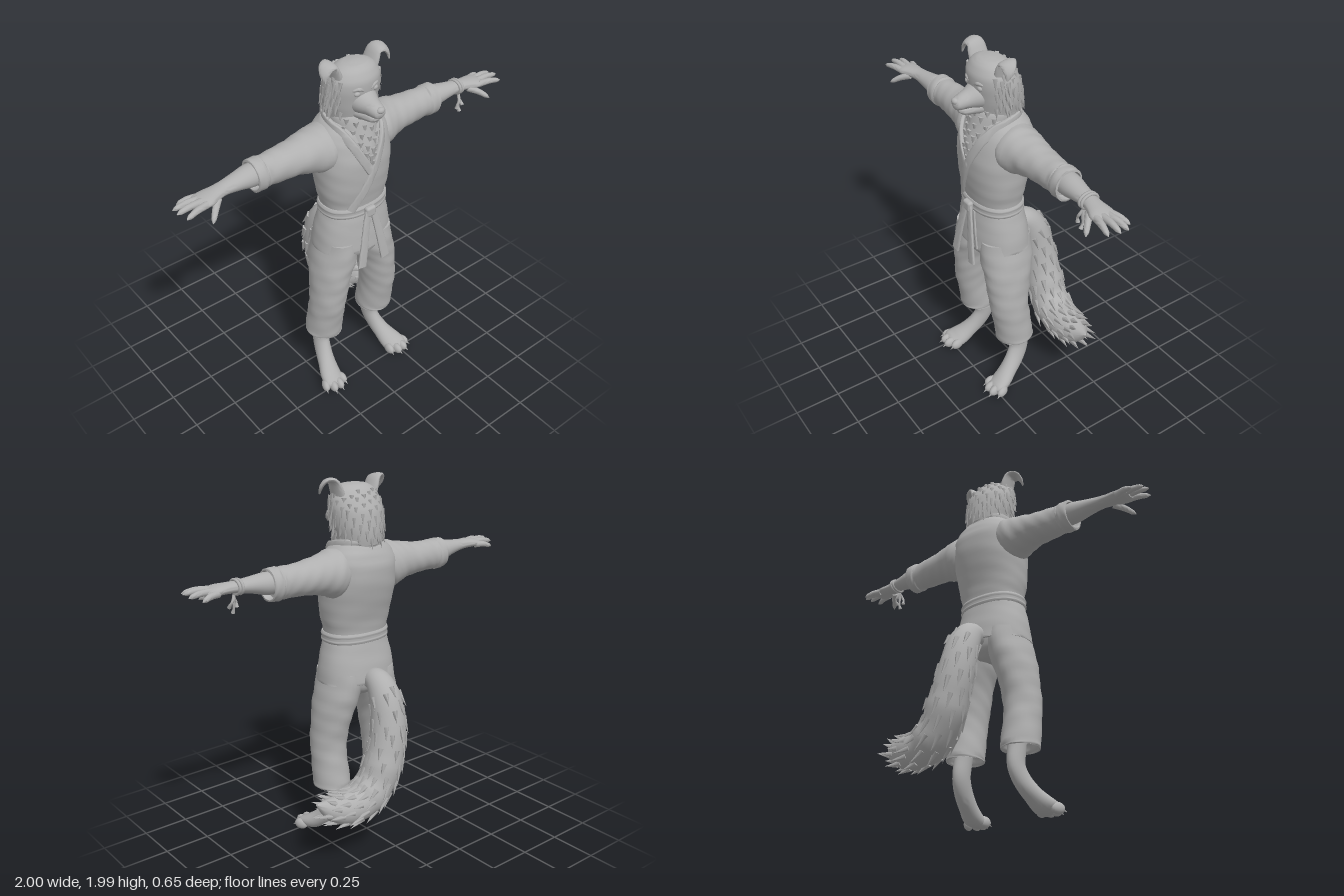
import * as THREE from 'three';
import { mergeGeometries, toCreasedNormals } from 'three/addons/utils/BufferGeometryUtils.js';
import { RoundedBoxGeometry } from 'three/addons/geometries/RoundedBoxGeometry.js';

const V = (x, y, z) => new THREE.Vector3(x, y, z);
const X = V(1, 0, 0), Y = V(0, 1, 0), Z = V(0, 0, 1);
const pow = (c, p) => Math.sign(c) * Math.abs(c) ** (2 / p);

// Lofts (super)elliptical rings through keys [x, y, z, ra, rb].
// dir: fixed ring axis; ref: start direction of the frame, or a function of the point.
function loft(keys, { dir, ref = Z, seg = 24, sub = 4, p = 2, wrinkle = 0 } = {}) {
  const path = new THREE.CatmullRomCurve3(keys.map(k => V(k[0], k[1], k[2])));
  const size = new THREE.CatmullRomCurve3(keys.map(k => V(k[3], k[4] ?? k[3], 0)));
  const n = (keys.length - 1) * sub, pos = [], idx = [], rings = [];
  let s = null;
  for (let i = 0; i <= n; i++) {
    const c = path.getPoint(i / n), r = size.getPoint(i / n);
    const t = dir ? dir.clone() : path.getTangent(i / n);
    if (typeof ref === 'function') s = ref(c).cross(t).normalize();
    else if (!s) s = ref.clone().cross(t).normalize();
    else s = s.clone().addScaledVector(t, -s.dot(t)).normalize();
    const w = t.clone().cross(s);
    rings.push({ c, s, w, t, ra: r.x, rb: r.y });
    for (let j = 0; j < seg; j++) {
      const a = j / seg * Math.PI * 2;
      const k = 1 + wrinkle * Math.sin(i * 1.3 + 2 * Math.sin(a)) * Math.sin(i * 0.45 + a * 3);
      const q = c.clone().addScaledVector(s, r.x * k * pow(Math.cos(a), p)).addScaledVector(w, r.y * k * pow(Math.sin(a), p));
      pos.push(q.x, q.y, q.z);
      const b = i * seg + j, d = i * seg + (j + 1) % seg;
      if (i < n) idx.push(b, d, b + seg, d, d + seg, b + seg);
    }
  }
  const cap = (n + 1) * seg, last = n * seg;
  for (const e of [rings[0].c, rings[n].c]) pos.push(e.x, e.y, e.z);
  for (let j = 0; j < seg; j++) {
    const j2 = (j + 1) % seg;
    idx.push(cap, j2, j, cap + 1, last + j, last + j2);
  }
  const raw = new THREE.BufferGeometry();
  raw.setAttribute('position', new THREE.Float32BufferAttribute(pos, 3));
  raw.setIndex(idx);
  const geo = toCreasedNormals(raw, 0.95);
  geo.userData.rings = rings;
  return geo;
}

// Mirrored copy across x, with the winding put right
function mirror(geo) {
  const g = geo.index ? geo.toNonIndexed() : geo.clone();
  g.scale(-1, 1, 1);
  for (const { array: a } of [g.attributes.position, g.attributes.normal])
    for (let i = 0; i < a.length; i += 9)
      for (let k = 3; k < 6; k++) [a[i + k], a[i + k + 3]] = [a[i + k + 3], a[i + k]];
  return g;
}

function ball(x, y, z, rx, ry, rz, turn = 0) {
  return new THREE.SphereGeometry(1, 18, 12).scale(rx, ry, rz).rotateY(turn).translate(x, y, z);
}

function spike(p, d, len, w) {
  const q = new THREE.Quaternion().setFromUnitVectors(Y, d.clone().normalize());
  return new THREE.ConeGeometry(w, len, 5).translate(0, len * 0.35, 0).applyQuaternion(q).translate(p.x, p.y, p.z);
}

// Locks of fur lying on a loft: spots are [place along it 0..1, angle]
function locks(geo, spots, len, w, flow = 1, lift = 0.3) {
  const rings = geo.userData.rings;
  return mergeGeometries(spots.map(([u, a], i) => {
    const r = rings[Math.round(u * (rings.length - 1))];
    const out = r.s.clone().multiplyScalar(Math.cos(a) * r.ra).addScaledVector(r.w, Math.sin(a) * r.rb);
    const p = r.c.clone().addScaledVector(out, 0.95);
    return spike(p, r.t.clone().multiplyScalar(flow).addScaledVector(out.normalize(), lift), len * (0.8 + 0.4 * (i * 0.618 % 1)), w);
  }));
}
const scatter = (n, u0, u1, a0, a1) =>
  Array.from({ length: n }, (_, i) => [u0 + (u1 - u0) * i / (n - 1), a0 + (a1 - a0) * (i * 0.618 % 1)]);

export function createModel() {
  const model = new THREE.Group();
  model.name = 'dogFighter';
  const grey = new THREE.MeshStandardMaterial({ color: 0xb0b0b0 });
  grey.name = 'plain grey';
  const add = (name, geo) => {
    const m = new THREE.Mesh(geo, grey);
    m.name = name;
    model.add(m);
    return geo;
  };
  const pair = (name, geo) => {
    add(name + 'Left', geo);
    add(name + 'Right', mirror(geo));
  };

  // Jacket body: y, half width, middle z, half depth
  const body = [[1.13, 0.178, 0.1, 0.125], [1.19, 0.182, 0.1, 0.13], [1.26, 0.197, 0.1, 0.142], [1.35, 0.207, 0.093, 0.158],
    [1.45, 0.212, 0.082, 0.17], [1.55, 0.21, 0.07, 0.16], [1.61, 0.185, 0.068, 0.138], [1.65, 0.145, 0.068, 0.115], [1.675, 0.11, 0.068, 0.1]];
  const upright = rows => rows.map(([y, rx, z, rz]) => [0, y, z, rx, rz]);
  add('jacketBody', loft(upright(body), { dir: Y, seg: 48, p: 2.3, wrinkle: 0.008 }));
  const front = (x, y) => {
    const i = Math.max(0, body.findIndex(b => b[0] >= y) - 1), a = body[i], b = body[i + 1], f = (y - a[0]) / (b[0] - a[0]);
    const [rx, z, rz] = [1, 2, 3].map(k => a[k] + (b[k] - a[k]) * f);
    return z + rz * (1 - Math.min(1, Math.abs(x / rx)) ** 2.3) ** (1 / 2.3);
  };

  // Crossed lapels running round the neck as one band
  const band = (x, y) => [x, y, front(x, y) + 0.003, 0.022, 0.011];
  add('lapels', loft([band(-0.1, 1.18), band(-0.05, 1.28), band(0, 1.38), band(0.05, 1.48), band(0.1, 1.58),
    [0.135, 1.645, 0.11, 0.022, 0.011], [0.11, 1.665, 0.01, 0.02, 0.011], [0, 1.665, -0.045, 0.02, 0.011],
    [-0.11, 1.665, 0.01, 0.02, 0.011], [-0.135, 1.645, 0.11, 0.022, 0.011],
    band(-0.1, 1.58), band(-0.05, 1.48), band(-0.005, 1.4)],
  { ref: c => V(c.x, 0, c.z - 0.07), p: 5, seg: 20, sub: 6 }));

  // Skirt of the jacket with its overlapping edge
  add('jacketSkirt', loft(upright([[0.93, 0.2, 0.095, 0.14], [0.91, 0.215, 0.095, 0.153], [0.912, 0.224, 0.095, 0.16],
    [1, 0.216, 0.096, 0.152], [1.09, 0.196, 0.1, 0.138], [1.16, 0.178, 0.1, 0.126]]), { dir: Y, seg: 48, p: 2.3, wrinkle: 0.006 }));
  add('skirtEdge', loft([[0.03, 1.13, 0.236, 0.01, 0.005], [0.05, 1.02, 0.245, 0.01, 0.005], [0.07, 0.915, 0.25, 0.01, 0.005]], { p: 4 }));

  // Belt, knot and hanging ends
  add('belt', loft(upright([[1.13, 0.188, 0.102, 0.134], [1.14, 0.193, 0.102, 0.138], [1.155, 0.189, 0.102, 0.134],
    [1.17, 0.193, 0.102, 0.138], [1.185, 0.186, 0.102, 0.132]]), { dir: Y, seg: 48, p: 2.3 }));
  add('beltKnot', new RoundedBoxGeometry(0.062, 0.06, 0.034, 3, 0.014).translate(0, 1.152, 0.25));
  pair('beltEnd', loft([[0.015, 1.16, 0.252, 0.017, 0.008], [0.035, 1.07, 0.264, 0.021, 0.007],
    [0.058, 0.95, 0.278, 0.024, 0.007], [0.078, 0.84, 0.288, 0.026, 0.007]], { p: 5 }));

  // Sleeve with an open, rolled cuff
  pair('sleeve', loft([[0.1, 1.53, 0.068, 0.1, 0.1], [0.18, 1.512, 0.062, 0.125, 0.128], [0.25, 1.515, 0.058, 0.108, 0.108],
    [0.33, 1.517, 0.056, 0.09, 0.095], [0.42, 1.515, 0.056, 0.083, 0.082], [0.5, 1.515, 0.057, 0.081, 0.075],
    [0.515, 1.515, 0.057, 0.08, 0.075], [0.525, 1.515, 0.057, 0.086, 0.08], [0.573, 1.515, 0.058, 0.083, 0.077],
    [0.575, 1.515, 0.058, 0.074, 0.068], [0.54, 1.515, 0.058, 0.068, 0.062]].map(k => [...k.slice(0, 3), k[4], k[3]]),
  { dir: X, ref: Y, seg: 28, wrinkle: 0.03 }));

  // Forearm and palm
  pair('forearm', loft([[0.5, 1.522, 0.058, 0.058, 0.056], [0.58, 1.525, 0.06, 0.06, 0.056], [0.66, 1.53, 0.068, 0.05, 0.042],
    [0.74, 1.532, 0.076, 0.042, 0.03], [0.79, 1.532, 0.085, 0.048, 0.027], [0.84, 1.53, 0.092, 0.06, 0.025],
    [0.88, 1.527, 0.09, 0.056, 0.02], [0.9, 1.525, 0.09, 0.04, 0.012]], { dir: X, ref: Y }));
  // Fingers and thumb: base, then tip
  const fingers = [[0.85, 1.522, 0.05, 0.95, 1.505, 0.018], [0.865, 1.53, 0.075, 0.995, 1.522, 0.066],
    [0.865, 1.532, 0.103, 1.0, 1.53, 0.115], [0.855, 1.528, 0.13, 0.98, 1.522, 0.165], [0.79, 1.518, 0.115, 0.872, 1.467, 0.198]];
  pair('fingers', mergeGeometries(fingers.map(([a, b, c, d, e, f]) => loft([[a, b, c, 0.019],
    [(a + d) / 2, (b + e) / 2 + 0.007, (c + f) / 2, 0.016], [a * 0.15 + d * 0.85, b * 0.15 + e * 0.85 + 0.003, c * 0.15 + f * 0.85, 0.012], [d, e, f, 0.002]],
  { seg: 12, ref: Y }))));

  // Cord bracelet on the left wrist
  add('bracelet', mergeGeometries([0.725, 0.742].map(x =>
    new THREE.TorusGeometry(0.04, 0.008, 8, 24).rotateY(Math.PI / 2).scale(1, 0.88, 1.12).translate(x, 1.532, 0.076))));
  add('braceletTassels', mergeGeometries([[0.715, 1.42], [0.738, 1.395], [0.757, 1.425]].map(([x, y], i) =>
    loft([[0.735, 1.5, 0.1, 0.007], [(x + 0.735) / 2, 1.465, 0.118 - i * 0.012, 0.008], [x, y + 0.025, 0.118 - i * 0.012, 0.006], [x, y, 0.115, 0.011]], { seg: 8 }))));

  // Trousers
  add('trouserSeat', loft(upright([[0.83, 0.06, 0.1, 0.09], [0.87, 0.15, 0.098, 0.135], [0.95, 0.2, 0.097, 0.145], [1.1, 0.17, 0.1, 0.12]]), { dir: Y, p: 2.2 }));
  pair('trouserLeg', loft([[0.18, 0.37, 0.085, 0.07, 0.075], [0.18, 0.325, 0.085, 0.088, 0.093], [0.18, 0.315, 0.085, 0.098, 0.103],
    [0.18, 0.33, 0.086, 0.102, 0.106], [0.18, 0.45, 0.103, 0.096, 0.106], [0.176, 0.55, 0.118, 0.096, 0.109], [0.165, 0.65, 0.115, 0.098, 0.12],
    [0.15, 0.75, 0.108, 0.104, 0.135], [0.125, 0.85, 0.1, 0.112, 0.148], [0.11, 0.97, 0.098, 0.1, 0.145]], { dir: Y, seg: 28, wrinkle: 0.025 }));

  // Shank and paw, raised at the heel
  pair('shank', loft([[0.172, 0.42, 0.075, 0.06, 0.05], [0.175, 0.31, 0.06, 0.055, 0.043], [0.178, 0.22, 0.052, 0.056, 0.04], [0.19, 0.15, 0.085, 0.055, 0.042],
    [0.208, 0.09, 0.145, 0.047, 0.05], [0.225, 0.048, 0.205, 0.044, 0.063], [0.235, 0.034, 0.255, 0.03, 0.062], [0.238, 0.03, 0.275, 0.018, 0.045]], { ref: X }));
  const toes = [[0.182, 0.245, -0.1], [0.218, 0.27, 0.05], [0.256, 0.268, 0.2], [0.287, 0.238, 0.4]];
  pair('toes', mergeGeometries(toes.map(([x, z, a]) => ball(x, 0.031, z, 0.023, 0.031, 0.04, a))));
  pair('claws', mergeGeometries(toes.map(([x, z, a]) => spike(V(x + Math.sin(a) * 0.038, 0.024, z + 0.034 * Math.cos(a)), V(Math.sin(a), -0.5, 1), 0.026, 0.008))));

  // Tail, sweeping down and out to the left
  const tail = add('tail', loft([[0, 0.93, -0.03, 0.055], [0, 0.925, -0.095, 0.07], [0, 0.855, -0.15, 0.085], [0.01, 0.7, -0.19, 0.096],
    [0.045, 0.55, -0.205, 0.1], [0.1, 0.42, -0.205, 0.1], [0.19, 0.338, -0.2, 0.1], [0.3, 0.325, -0.198, 0.095], [0.39, 0.345, -0.192, 0.068], [0.48, 0.39, -0.18, 0.006]], { ref: X, seg: 28 }));
  add('tailFur', locks(tail, scatter(110, 0.2, 0.93, 0, Math.PI * 2), 0.085, 0.017, 1, 0.22));

  // Head and neck
  const head = add('head', loft(upright([[1.6, 0.12, 0.065, 0.11], [1.68, 0.127, 0.065, 0.123], [1.75, 0.143, 0.073, 0.128], [1.82, 0.147, 0.085, 0.127],
    [1.88, 0.138, 0.1, 0.112], [1.925, 0.108, 0.105, 0.083], [1.945, 0.07, 0.107, 0.055], [1.952, 0.02, 0.108, 0.015]]), { dir: Y, seg: 36 }));
  add('headFur', locks(head, scatter(70, 0.12, 0.68, Math.PI * 0.92, Math.PI * 2.08), 0.06, 0.014, -1, 0.3));
  pair('cheekFur', locks(head, scatter(12, 0.2, 0.6, Math.PI * 0.8, Math.PI), 0.065, 0.016, -1, 0.35));

  // Chest ruff in the neck opening
  const ruff = add('chestRuff', loft(upright([[1.385, 0.008, 0.238, 0.012], [1.45, 0.042, 0.2, 0.056], [1.52, 0.076, 0.168, 0.082],
    [1.6, 0.112, 0.12, 0.105], [1.68, 0.125, 0.085, 0.118], [1.72, 0.11, 0.075, 0.1]]), { dir: Y }));
  add('ruffFur', locks(ruff, scatter(34, 0.2, 0.85, Math.PI * 0.12, Math.PI * 0.88), 0.07, 0.016, -1, 0.1));

  // Muzzle, lower jaw, nose and eyes
  add('muzzle', loft([[0, 1.77, 0.15, 0.085, 0.075], [0, 1.77, 0.2, 0.068, 0.062], [0, 1.763, 0.24, 0.05, 0.046],
    [0, 1.757, 0.28, 0.041, 0.037], [0, 1.753, 0.305, 0.032, 0.028], [0, 1.753, 0.315, 0.012, 0.012]], { dir: Z, ref: Y }));
  add('lowerJaw', loft([[0, 1.715, 0.15, 0.07, 0.045], [0, 1.712, 0.22, 0.045, 0.032], [0, 1.712, 0.27, 0.032, 0.022], [0, 1.714, 0.288, 0.012, 0.01]], { dir: Z, ref: Y }));
  add('nose', ball(0, 1.77, 0.305, 0.022, 0.016, 0.017));
  pair('eye', ball(0.053, 1.827, 0.197, 0.018, 0.014, 0.014));
  pair('brow', loft([[0.022, 1.838, 0.207, 0.006], [0.045, 1.851, 0.203, 0.011], [0.068, 1.849, 0.191, 0.01], [0.085, 1.836, 0.175, 0.004]], { seg: 12 }));

  // Ears, folded over outward
  pair('ear', loft([[0.095, 1.86, 0.1, 0.05, 0.03], [0.112, 1.92, 0.1, 0.053, 0.022], [0.135, 1.968, 0.104, 0.046, 0.015],
    [0.168, 1.968, 0.116, 0.038, 0.012], [0.188, 1.94, 0.128, 0.024, 0.01], [0.192, 1.905, 0.138, 0.004, 0.004]], { ref: V(-1, 0, 0) }));
  return model;
}
